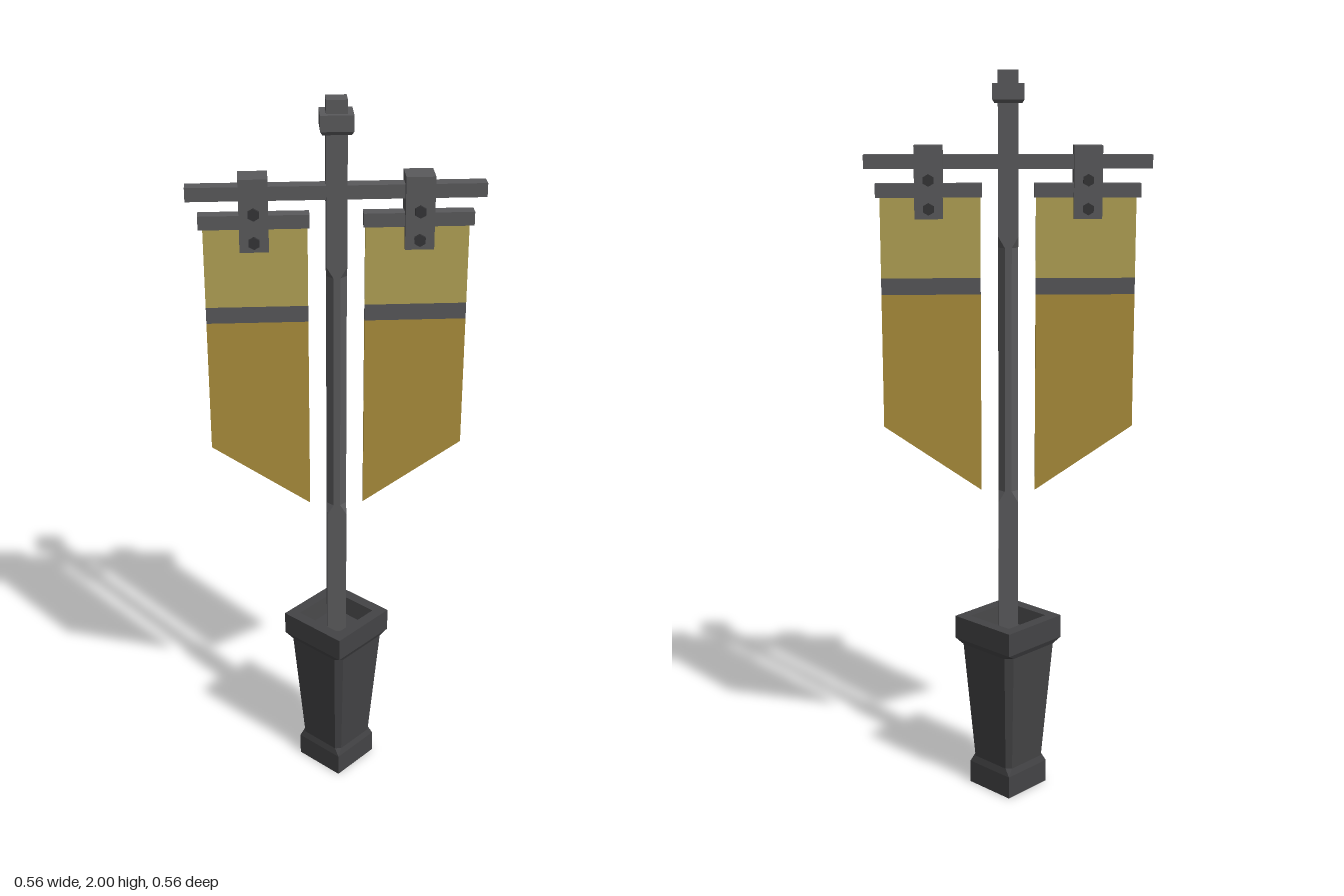
import * as THREE from 'three';

const mat = (color, flatShading = true) => new THREE.MeshStandardMaterial({ color, flatShading });
const iron = mat(0x5a5a5c), stone = mat(0x444446), dark = mat(0x353537);
const clothTop = mat(0xb3a355), clothLow = mat(0xab8e3c), stripe = mat(0x58585a);

function add(parent, name, geometry, material, x = 0, y = 0, z = 0) {
  const mesh = new THREE.Mesh(geometry, material);
  mesh.name = name;
  mesh.position.set(x, y, z);
  parent.add(mesh);
  return mesh;
}

// Stacks square rings [y, half width, corner chamfer] into a closed, faceted solid
function loft(rings) {
  const loops = rings.map(([y, h, c]) => {
    const k = h - c;
    return [[h, -k], [h, k], [k, h], [-k, h], [-h, k], [-h, -k], [-k, -h], [k, -h]]
      .map(([x, z]) => new THREE.Vector3(x, y, z));
  });
  const pos = [];
  const tri = (a, b, c) => {
    const area = b.clone().sub(a).cross(c.clone().sub(a)).length();
    if (area > 1e-9) pos.push(...a, ...b, ...c);
  };
  for (let r = 0; r + 1 < loops.length; r++) {
    for (let i = 0; i < 8; i++) {
      const j = (i + 1) % 8, lo = loops[r], hi = loops[r + 1];
      tri(lo[i], hi[i], hi[j]);
      tri(lo[i], hi[j], lo[j]);
    }
  }
  const first = loops[0], last = loops[loops.length - 1];
  for (let i = 1; i < 7; i++) {
    tri(first[0], first[i], first[i + 1]);
    tri(last[0], last[i + 1], last[i]);
  }
  const g = new THREE.BufferGeometry();
  g.setAttribute('position', new THREE.Float32BufferAttribute(pos, 3));
  g.computeVertexNormals();
  return g;
}

// Thin cloth panel from a front outline
function panel(points, depth) {
  const shape = new THREE.Shape(points.map(([x, y]) => new THREE.Vector2(x, y)));
  return new THREE.ExtrudeGeometry(shape, { depth, bevelEnabled: false }).translate(0, 0, -depth / 2);
}

// One hanging banner with its rod and clamp; side is +1 or -1
function banner(side) {
  const g = new THREE.Group();
  g.name = side > 0 ? 'leftBanner' : 'rightBanner';
  const inner = 0.073 * side, outer = 0.337 * side, mid = 0.208 * side;

  add(g, 'bannerRod', new THREE.BoxGeometry(0.28, 0.036, 0.036), iron, mid, 1.694, 0);
  add(g, 'upperCloth', panel([[inner, 1.464], [outer, 1.464], [outer, 1.69], [inner, 1.69]], 0.014), clothTop);
  add(g, 'clothStripe', panel([[inner, 1.42], [outer, 1.42], [outer, 1.464], [inner, 1.464]], 0.014), stripe);
  add(g, 'lowerCloth', panel([[inner, 0.88], [outer, 1.06], [outer, 1.42], [inner, 1.42]], 0.014), clothLow);

  // Clamp over the crossbar, with a bolted plate on each face
  add(g, 'clampBlock', new THREE.BoxGeometry(0.074, 0.095, 0.074), iron, mid, 1.7625, 0);
  for (const f of [1, -1]) {
    add(g, 'clampPlate', new THREE.BoxGeometry(0.074, 0.093, 0.018), iron, mid, 1.6685, 0.028 * f);
    for (const y of [1.722, 1.648]) {
      const bolt = add(g, 'bolt', new THREE.CylinderGeometry(0.016, 0.016, 0.01, 6), dark, mid, y, 0.041 * f);
      bolt.rotation.x = Math.PI / 2;
    }
  }
  return g;
}

export function createModel() {
  const model = new THREE.Group();
  model.name = 'bannerPost';

  // Hollow tapered pedestal
  add(model, 'pedestal', loft([
    [0, 0.077, 0], [0.065, 0.077, 0], [0.085, 0.073, 0.013],
    [0.43, 0.098, 0.018], [0.445, 0.105, 0], [0.51, 0.105, 0],
    [0.51, 0.074, 0], [0.46, 0.065, 0],
  ]), stone);

  // Everything above the pedestal is turned to the diagonal
  const upper = new THREE.Group();
  upper.name = 'upperAssembly';
  upper.rotation.y = -Math.PI / 4;
  model.add(upper);

  add(upper, 'pole', loft([
    [0.45, 0.0265, 0], [0.85, 0.0265, 0], [0.88, 0.0265, 0.0175],
    [1.545, 0.0265, 0.0175], [1.575, 0.0265, 0], [2, 0.0265, 0],
  ]), iron);
  add(upper, 'collar', loft([
    [1.917, 0.036, 0], [1.926, 0.0415, 0], [1.966, 0.0415, 0],
  ]), iron);
  add(upper, 'crossbar', new THREE.BoxGeometry(0.754, 0.036, 0.038), iron, 0, 1.768, 0);
  for (const side of [1, -1]) upper.add(banner(side));

  return model;
}
